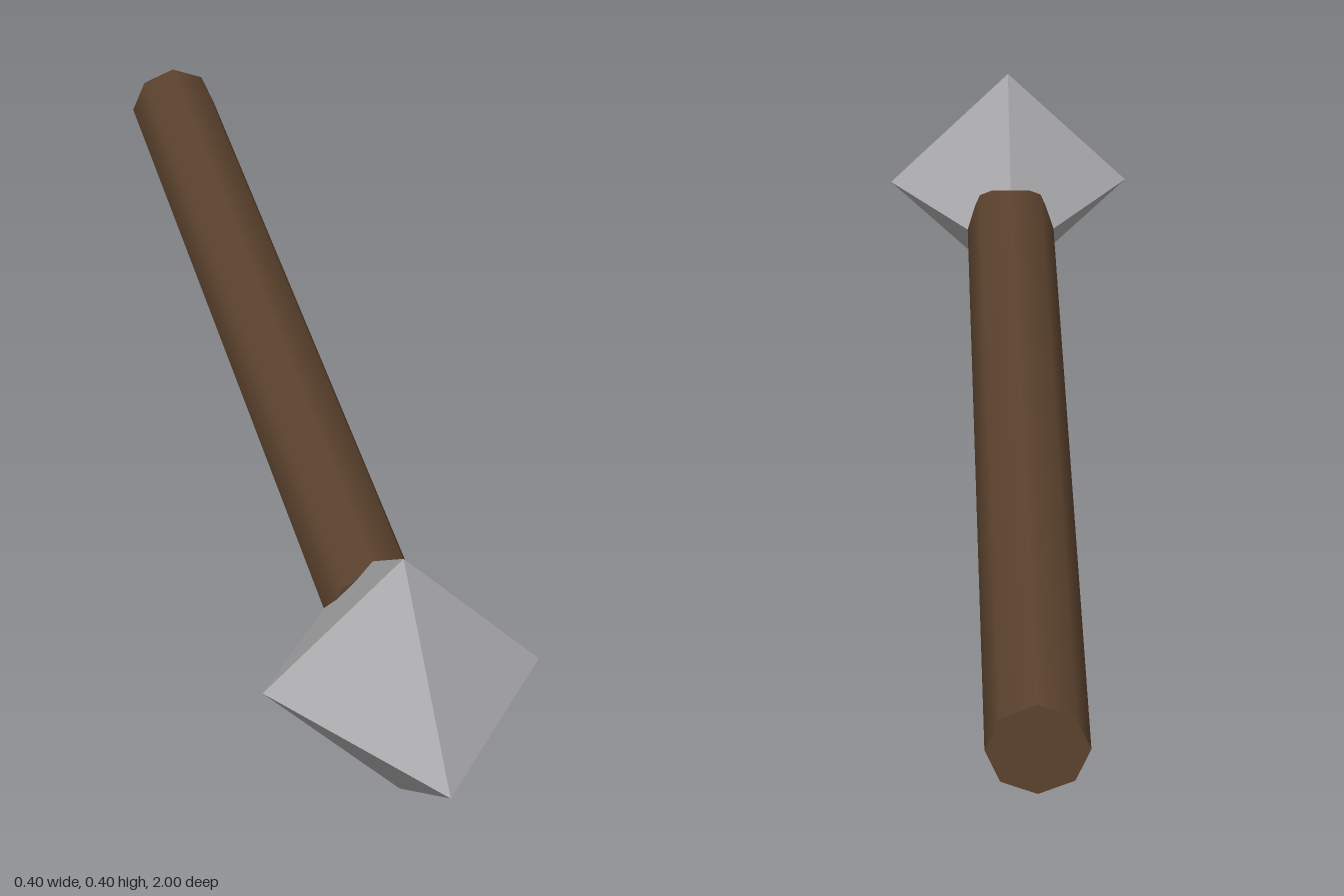
import * as THREE from 'three';

export function createModel() {
  const group = new THREE.Group();
  const wood = new THREE.MeshStandardMaterial({ color: 0x5c432e });
  wood.name = 'wood';
  const steel = new THREE.MeshStandardMaterial({ color: 0xa8a8aa });
  steel.name = 'steel';

  const headRadius = 0.198, headHalfLength = 0.284;
  const shaftRadius = 0.071, shaftBack = -1, shaftFront = 0.56;

  // Eight-sided smooth shaft lying along z, its front end sunk into the head
  const shaftGeometry = new THREE.CylinderGeometry(shaftRadius, shaftRadius, shaftFront - shaftBack, 8);
  shaftGeometry.rotateX(Math.PI / 2);
  const shaft = new THREE.Mesh(shaftGeometry, wood);
  shaft.name = 'shaft';
  shaft.position.set(0, headRadius, (shaftFront + shaftBack) / 2);
  group.add(shaft);

  // Faceted pointed head: an octahedron stretched along z
  const headGeometry = new THREE.OctahedronGeometry(1, 0);
  headGeometry.scale(headRadius, headRadius, headHalfLength);
  headGeometry.computeVertexNormals();
  const head = new THREE.Mesh(headGeometry, steel);
  head.name = 'head';
  head.position.set(0, headRadius, 1 - headHalfLength);
  group.add(head);

  return group;
}
